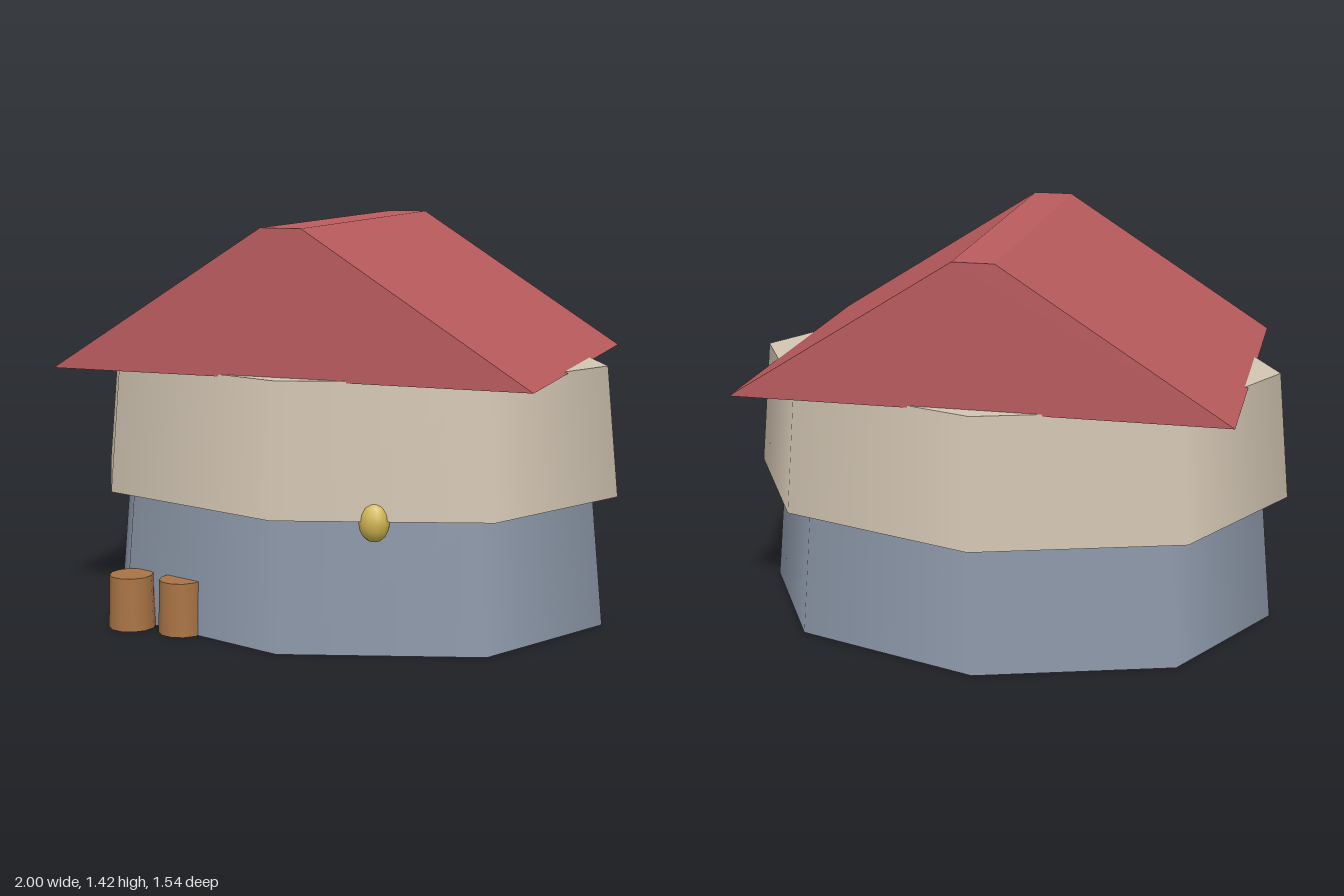
import * as THREE from 'three';

const flat = (name, color) => {
  const m = new THREE.MeshStandardMaterial({ color });
  m.name = name;
  return m;
};

export function createModel() {
  const model = new THREE.Group();
  model.name = 'cottage';
  const slate = flat('slate blue', 0x8c97a8);
  const stone = flat('warm stone', 0xd2c5b2);
  const red = flat('roof red', 0xb95b5d);
  const wood = flat('barrel wood', 0xa87344);
  const gold = flat('lantern gold', 0xd0b552);

  const add = (name, geometry, material, x = 0, y = 0, z = 0) => {
    const mesh = new THREE.Mesh(geometry, material);
    mesh.name = name;
    mesh.position.set(x, y, z);
    model.add(mesh);
    return mesh;
  };

  // Two tapering eight-sided storeys, narrower front to back
  const storey = (name, top, bottom, y0, y1, depth, material) =>
    add(name, new THREE.CylinderGeometry(top, bottom, y1 - y0, 8).scale(1, 1, depth),
      material, 0, (y0 + y1) / 2, 0);
  storey('lowerStorey', 0.91, 0.955, 0, 0.47, 0.757, slate);
  storey('upperStorey', 0.955, 1, 0.47, 0.932, 0.768, stone);

  // Gabled roof with a narrow flat ridge
  const gable = new THREE.Shape([
    new THREE.Vector2(-0.857, 0.925), new THREE.Vector2(0.857, 0.925),
    new THREE.Vector2(0.072, 1.425), new THREE.Vector2(-0.072, 1.425),
  ]);
  const roof = new THREE.ExtrudeGeometry(gable, { depth: 1.322, bevelEnabled: false });
  add('roof', roof.translate(0, 0, -0.661), red);

  // Pair of barrels against the front wall
  for (const x of [-0.61, -0.415])
    add('barrel', new THREE.CylinderGeometry(0.077, 0.083, 0.19, 12), wood, x, 0.095, 0.587);

  // Small egg-shaped lantern under the overhang
  const egg = new THREE.SphereGeometry(0.054, 12, 8).scale(1, 1.3, 1);
  add('lantern', egg, gold, 0.32, 0.466, 0.638);

  return model;
}
